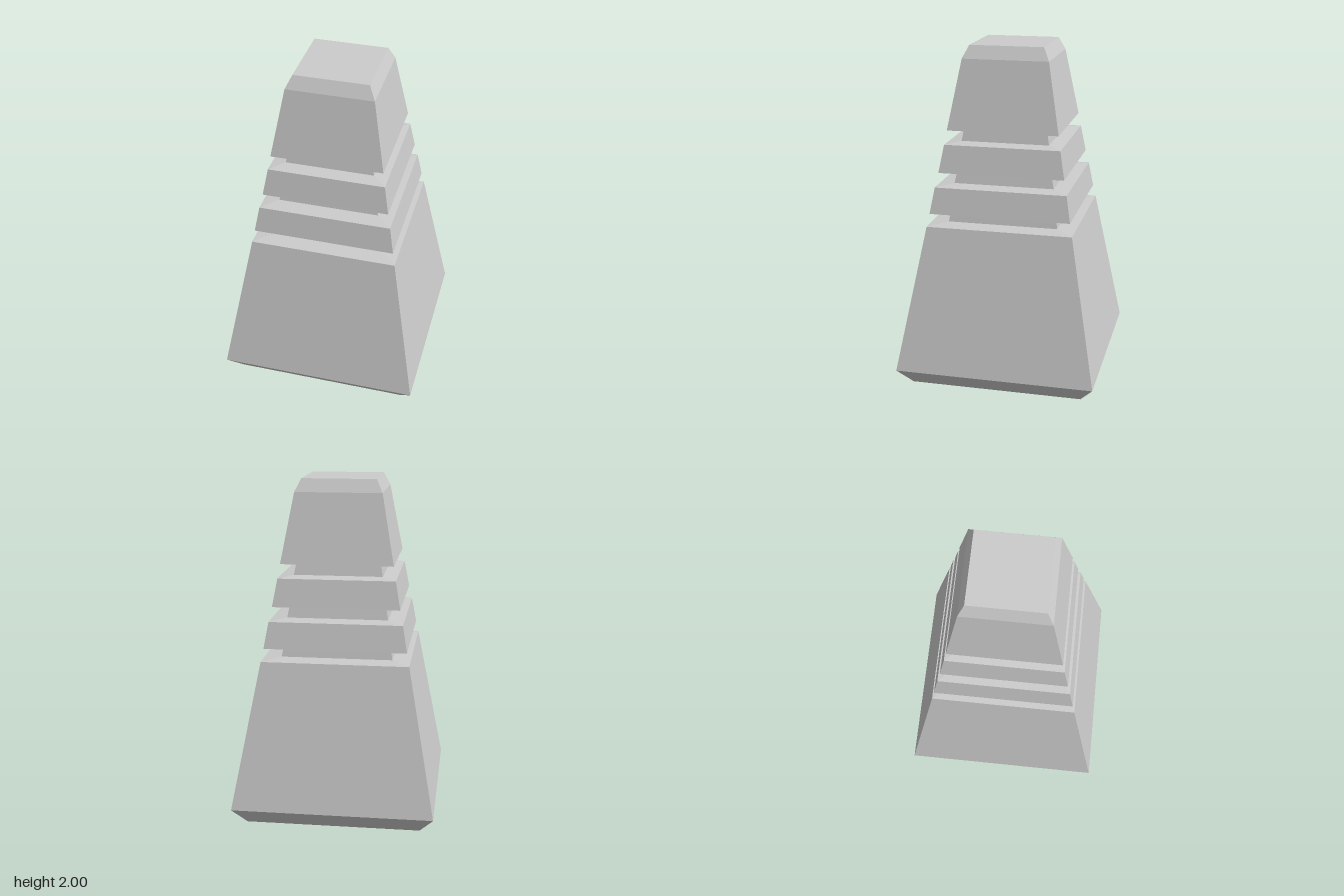
import * as THREE from 'three';

const material = new THREE.MeshStandardMaterial({ color: 0xcccccc, flatShading: true });

// Square-sectioned solid from a bottom-to-top profile of [half width, height]
function squarePart(name, profile) {
  const points = profile.map(([w, y]) => new THREE.Vector2(w * Math.SQRT2, y));
  const mesh = new THREE.Mesh(new THREE.LatheGeometry(points, 4, Math.PI / 4), material);
  mesh.name = name;
  return mesh;
}

export function createModel() {
  const group = new THREE.Group();
  group.name = 'steppedBollard';

  // Each part starts and ends where it meets the neck of its neighbour
  const parts = {
    base: [[0, 0], [0.51, 0], [0.59, 0.1], [0.43, 0.963], [0.325, 0.971]],
    lowerNeck: [[0.325, 0.971], [0.315, 1.031]],
    lowerRing: [[0.315, 1.031], [0.415, 1.038], [0.388, 1.192], [0.295, 1.2]],
    middleNeck: [[0.295, 1.2], [0.282, 1.27]],
    upperRing: [[0.282, 1.27], [0.37, 1.276], [0.341, 1.438], [0.259, 1.447]],
    upperNeck: [[0.259, 1.447], [0.247, 1.513]],
    cap: [[0.247, 1.513], [0.327, 1.52], [0.253, 1.925], [0.217, 2], [0, 2]],
  };
  for (const [name, profile] of Object.entries(parts)) group.add(squarePart(name, profile));

  return group;
}
